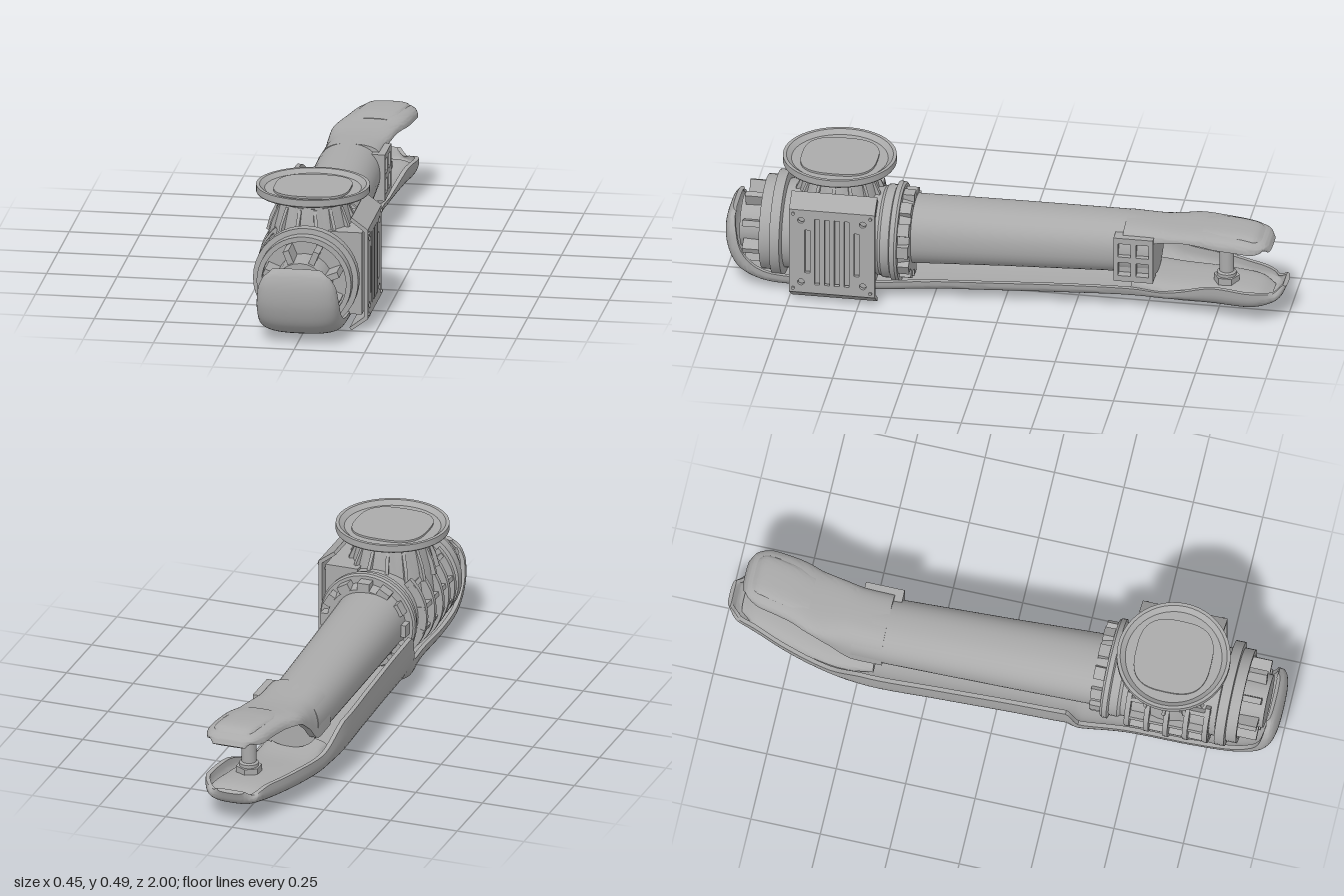
import * as THREE from 'three';
import { toCreasedNormals } from 'three/addons/utils/BufferGeometryUtils.js';

const V = (x, y, z) => new THREE.Vector3(x, y, z);

// Skin closed rings (running from -z to +z) and close both ends
function loft(rings) {
  const n = rings[0].length, pos = rings.flat().flatMap(p => [p.x, p.y, p.z]), idx = [];
  for (let i = 0; i < rings.length - 1; i++) for (let j = 0; j < n; j++) {
    const a = i * n + j, b = i * n + (j + 1) % n;
    idx.push(a, b, b + n, a, b + n, a + n);
  }
  const e = (rings.length - 1) * n;
  for (let k = 0; k < n / 2 - 1; k++) {
    const a = k, b = k + 1, c = n - 2 - k, d = n - 1 - k;
    idx.push(c, b, a, d, c, a, e + a, e + b, e + c, e + a, e + c, e + d);
  }
  const g = new THREE.BufferGeometry();
  g.setAttribute('position', new THREE.Float32BufferAttribute(pos, 3));
  g.setIndex(idx);
  return toCreasedNormals(g, 0.6);
}

// Thick trough swept on a spine; rows are [z, y, centreX, halfWidth, riseLeft(-x), riseRight(+x)]
function trough(rows, thick, sign = 1, steps = 60) {
  const spine = new THREE.CatmullRomCurve3(rows.map(r => V(r[2], r[1], r[0])));
  const size = new THREE.CatmullRomCurve3(rows.map(r => V(r[3], r[4], r[5])));
  const rings = [], N = 24;
  for (let i = 0; i <= steps; i++) {
    const p = spine.getPoint(i / steps), s = size.getPoint(i / steps), d = spine.getTangent(i / steps);
    const len = Math.hypot(d.y, d.z), ny = sign * d.z / len, nz = -sign * d.y / len;
    const outer = [], inner = [];
    for (let k = 0; k <= N; k++) {
      const a = (k / N - 0.5) * Math.PI, sn = Math.sin(a);
      const u = Math.sign(sn) * Math.abs(sn) ** 0.7, c = 1 - Math.abs(Math.cos(a)) ** 0.65;
      const h = a * sign < 0 ? s.y : s.z;
      const at = (w, o) => V(p.x + sign * w * u, p.y + ny * o, p.z + nz * o);
      outer.push(at(s.x, h * c));
      inner.unshift(at(Math.max(s.x - thick, s.x * 0.5), thick + Math.max(h - thick, 0) * c));
    }
    rings.push([...outer, ...inner]);
  }
  return loft(rings);
}

export function createModel() {
  const model = new THREE.Group();
  const grey = new THREE.MeshStandardMaterial({ color: 0xaaaaaa });
  grey.name = 'plain grey';
  const add = (name, geo, x = 0, y = 0, z = 0) => {
    const m = new THREE.Mesh(geo, grey);
    m.name = name;
    m.position.set(x, y, z);
    model.add(m);
    return m;
  };
  const lathe = (pts, seg = 40) =>
    toCreasedNormals(new THREE.LatheGeometry(pts.map(p => new THREE.Vector2(...p)), seg), 0.5);
  const box = (name, w, h, d, x, y, z) => add(name, new THREE.BoxGeometry(w, h, d), x, y, z);
  // Plate facing +x, with rectangular and round holes; u runs towards -z
  const plate = (w, h, depth, rects, circles = []) => {
    const rect = (P, x, y, a, b) => new P([[-1, -1], [1, -1], [1, 1], [-1, 1]]
      .map(([i, j]) => new THREE.Vector2(x + i * a / 2, y + j * b / 2)));
    const s = rect(THREE.Shape, 0, 0, w, h);
    rects.forEach(r => s.holes.push(rect(THREE.Path, ...r)));
    circles.forEach(([x, y, r]) => s.holes.push(new THREE.Path().absarc(x, y, r, 0, Math.PI * 2)));
    return new THREE.ExtrudeGeometry(s, { depth, bevelEnabled: false, curveSegments: 8 }).rotateY(Math.PI / 2);
  };

  // Long lower shell curling up into the front cap
  add('lowerShell', trough([
    [-1, 0.135, 0.01, 0.05, 0.015, 0.015], [-0.975, 0.09, 0.015, 0.09, 0.045, 0.045],
    [-0.9, 0.062, 0.02, 0.122, 0.078, 0.078], [-0.75, 0.05, -0.015, 0.14, 0.09, 0.09],
    [-0.6, 0.045, -0.05, 0.145, 0.1, 0.05], [-0.47, 0.042, -0.07, 0.155, 0.185, 0.05],
    [-0.2, 0.036, -0.06, 0.157, 0.192, 0.055], [0.05, 0.03, -0.047, 0.16, 0.198, 0.055],
    [0.25, 0.025, -0.037, 0.163, 0.2, 0.055], [0.3, 0.024, -0.03, 0.163, 0.1, 0.055],
    [0.45, 0.02, -0.005, 0.16, 0.07, 0.055], [0.7, 0.014, 0, 0.155, 0.06, 0.055],
    [0.86, 0.022, 0.002, 0.15, 0.065, 0.06], [0.95, 0.065, 0.003, 0.147, 0.07, 0.07],
    [0.988, 0.14, 0.003, 0.146, 0.06, 0.06], [0.996, 0.22, 0.003, 0.138, 0.05, 0.05],
    [0.985, 0.27, 0.003, 0.118, 0.035, 0.035], [0.97, 0.292, 0.003, 0.09, 0.02, 0.02],
  ], 0.016, 1, 110));

  // Tapered arm with rounded section: [z, centreX, centreY, halfWidth, halfHeight]
  const ring = ([z, cx, cy, rx, ry]) => Array.from({ length: 40 }, (_, k) => {
    const a = k / 40 * Math.PI * 2, f = v => Math.sign(v) * Math.abs(v) ** 0.88;
    return V(cx + rx * f(Math.cos(a)), cy + ry * f(Math.sin(a)), z);
  });
  add('armTube', loft([[-0.53, -0.033, 0.22, 0.113, 0.1], [-0.4, -0.033, 0.222, 0.115, 0.104],
    [0, -0.02, 0.22, 0.12, 0.111], [0.37, -0.005, 0.217, 0.125, 0.119]].map(ring)));

  // Fork prongs at the rear, with raised pad
  add('upperProng', trough([
    [-0.95, 0.293, 0.035, 0.06, 0.012, 0.012], [-0.935, 0.318, 0.035, 0.085, 0.028, 0.028],
    [-0.88, 0.336, 0.032, 0.108, 0.046, 0.046], [-0.75, 0.338, 0.01, 0.115, 0.045, 0.045],
    [-0.67, 0.328, -0.015, 0.117, 0.045, 0.035], [-0.6, 0.322, -0.025, 0.116, 0.085, 0.032],
    [-0.53, 0.321, -0.032, 0.114, 0.15, 0.045], [-0.42, 0.324, -0.033, 0.115, 0.15, 0.06],
  ], 0.026, -1));
  add('prongPad', trough([
    [-0.92, 0.325, 0.035, 0.06, 0.01, 0.01], [-0.89, 0.342, 0.035, 0.075, 0.02, 0.02],
    [-0.78, 0.344, 0.015, 0.08, 0.02, 0.02], [-0.7, 0.334, 0, 0.07, 0.015, 0.015],
  ], 0.012, -1, 20));
  add('lowerProng', trough([
    [-0.95, 0.105, 0.025, 0.06, 0.02, 0.02], [-0.9, 0.125, 0.022, 0.1, 0.04, 0.04],
    [-0.75, 0.124, -0.01, 0.115, 0.05, 0.05], [-0.6, 0.115, -0.035, 0.12, 0.05, 0.05],
    [-0.45, 0.13, -0.04, 0.11, 0.04, 0.04],
  ], 0.03, -1, 30));

  // Fork pin with hex nut
  add('forkPin', lathe([[0, 0.1], [0.034, 0.1], [0.034, 0.16], [0.026, 0.165], [0.026, 0.255],
    [0.036, 0.262], [0.036, 0.3], [0, 0.3]], 24), 0.02, 0, -0.78);
  add('pinNut', toCreasedNormals(new THREE.CylinderGeometry(0.046, 0.046, 0.026, 6), 0.5), 0.02, 0.135, -0.78);

  // Four cell side vent at the fork root
  add('sideVent', plate(0.14, 0.17, 0.07,
    [-1, 1].flatMap(i => [-1, 1].map(j => [i * 0.032, j * 0.037, 0.045, 0.052]))), 0.03, 0.213, -0.46);
  box('ventBack', 0.04, 0.16, 0.13, 0.05, 0.213, -0.46);

  // Main round housing along z
  const cx = 0.012, cy = 0.208;
  add('mainHousing', lathe([[0, 0.33], [0.135, 0.33], [0.145, 0.37], [0.172, 0.37], [0.178, 0.378],
    [0.178, 0.395], [0.165, 0.4], [0.165, 0.43], [0.158, 0.44], [0.158, 0.78], [0.187, 0.785],
    [0.187, 0.82], [0.168, 0.822], [0.168, 0.86], [0.15, 0.86], [0.15, 0.835], [0, 0.835]])
    .rotateX(Math.PI / 2), cx, cy, 0);
  add('frontHub', lathe([[0, 0.83], [0.1, 0.83], [0.095, 0.94], [0, 0.94]], 24).rotateX(Math.PI / 2), cx, cy, 0);

  // Radial ribs in the front recess and lugs on the arm collar
  const around = (name, count, w, h, d, r, z, phase = 0) => {
    for (let i = 0; i < count; i++) {
      const a = (i + phase) / count * Math.PI * 2;
      const m = box(name, h, w, d, cx + r * Math.cos(a), cy + r * Math.sin(a), z);
      m.rotation.z = a;
    }
  };
  around('hubRib', 8, 0.022, 0.06, 0.1, 0.113, 0.875, 0.5);
  around('collarLug', 12, 0.045, 0.026, 0.04, 0.147, 0.35);

  // Curved ribs on the housing's outer side, joined by short bars
  for (const z of [0.47, 0.54, 0.61, 0.68, 0.75]) {
    const r = 0.183 - Math.abs(z - 0.61) * 0.06;
    const band = new THREE.Shape().absarc(0, 0, r + 0.014, 2.3, 4.1);
    band.absarc(0, 0, 0.15, 4.1, 2.3, true);
    add('sideRib', new THREE.ExtrudeGeometry(band, { depth: 0.018, bevelEnabled: false, curveSegments: 20 }), cx, cy, z - 0.009);
  }
  for (const a of [2.45, 2.95, 3.45, 3.9]) {
    const m = box('crossRib', 0.04, 0.016, 0.3, cx + 0.165 * Math.cos(a), cy + 0.165 * Math.sin(a), 0.61);
    m.rotation.z = a;
  }

  // Neck with fins, rising to the mounting disc
  add('neck', lathe([[0.155, 0.25], [0.145, 0.34], [0.12, 0.435], [0.125, 0.437], [0.125, 0.453], [0, 0.453]]), 0.003, 0, 0.6);
  for (let i = 0; i < 14; i++) {
    const a = i / 14 * Math.PI * 2;
    const fin = new THREE.Shape([[0.1, 0.43], [0.124, 0.43], [0.152, 0.37], [0.165, 0.32], [0.12, 0.3]]
      .map(p => new THREE.Vector2(...p)));
    const m = add('neckFin', new THREE.ExtrudeGeometry(fin, { depth: 0.012, bevelEnabled: false }).translate(0, 0, -0.006), 0.003, 0, 0.6);
    m.rotation.y = a;
  }
  add('discSpacer', new THREE.CylinderGeometry(0.165, 0.155, 0.014, 10), 0.003, 0.459, 0.6);
  add('mountingDisc', lathe([[0, 0.464], [0.197, 0.464], [0.2, 0.468], [0.2, 0.492], [0.188, 0.492],
    [0.17, 0.478], [0, 0.478]], 48), 0.003, 0, 0.6);
  const pad = new THREE.Shape(Array.from({ length: 40 }, (_, k) => {
    const a = k / 40 * Math.PI * 2, f = v => Math.sign(v) * Math.abs(v) ** 0.7;
    return new THREE.Vector2(0.135 * f(Math.cos(a)), 0.135 * f(Math.sin(a)));
  }));
  add('discInset', new THREE.ExtrudeGeometry(pad, { depth: 0.008, bevelEnabled: false }).rotateX(-Math.PI / 2), 0.003, 0.477, 0.6);

  // Side box with slotted cover, screws and bent flanges
  box('sideBox', 0.12, 0.3, 0.28, 0.138, 0.211, 0.592);
  const slots = [-2.5, -1.5, -0.5, 0.5, 1.5, 2.5].map(i => [i * 0.035, 0, 0.018, Math.abs(i) > 2 ? 0.17 : 0.26]);
  const corners = [-1, 1].flatMap(i => [-1, 1].map(j => [i * 0.11, j * 0.123]));
  add('slottedCover', plate(0.305, 0.316, 0.014, slots, corners.map(c => [...c, 0.012])), 0.207, 0.212, 0.592);
  for (const s of [-1, 1]) {
    const lip = new THREE.Shape([[0.221, 0.155], [0.221, 0.164], [0.163, 0.207], [0.156, 0.197], [0.207, 0.157]]
      .map(([x, y]) => new THREE.Vector2(x, y * s)));
    add('coverFlange', new THREE.ExtrudeGeometry(lip, { depth: 0.305, bevelEnabled: false }), 0, 0.212, 0.4395);
    for (const z of [0.455, 0.73]) {
      add('coverScrew', new THREE.CylinderGeometry(0.006, 0.006, 0.01, 10).rotateZ(Math.PI / 2), 0.222, 0.212 + s * 0.148, z);
    }
  }
  return model;
}
